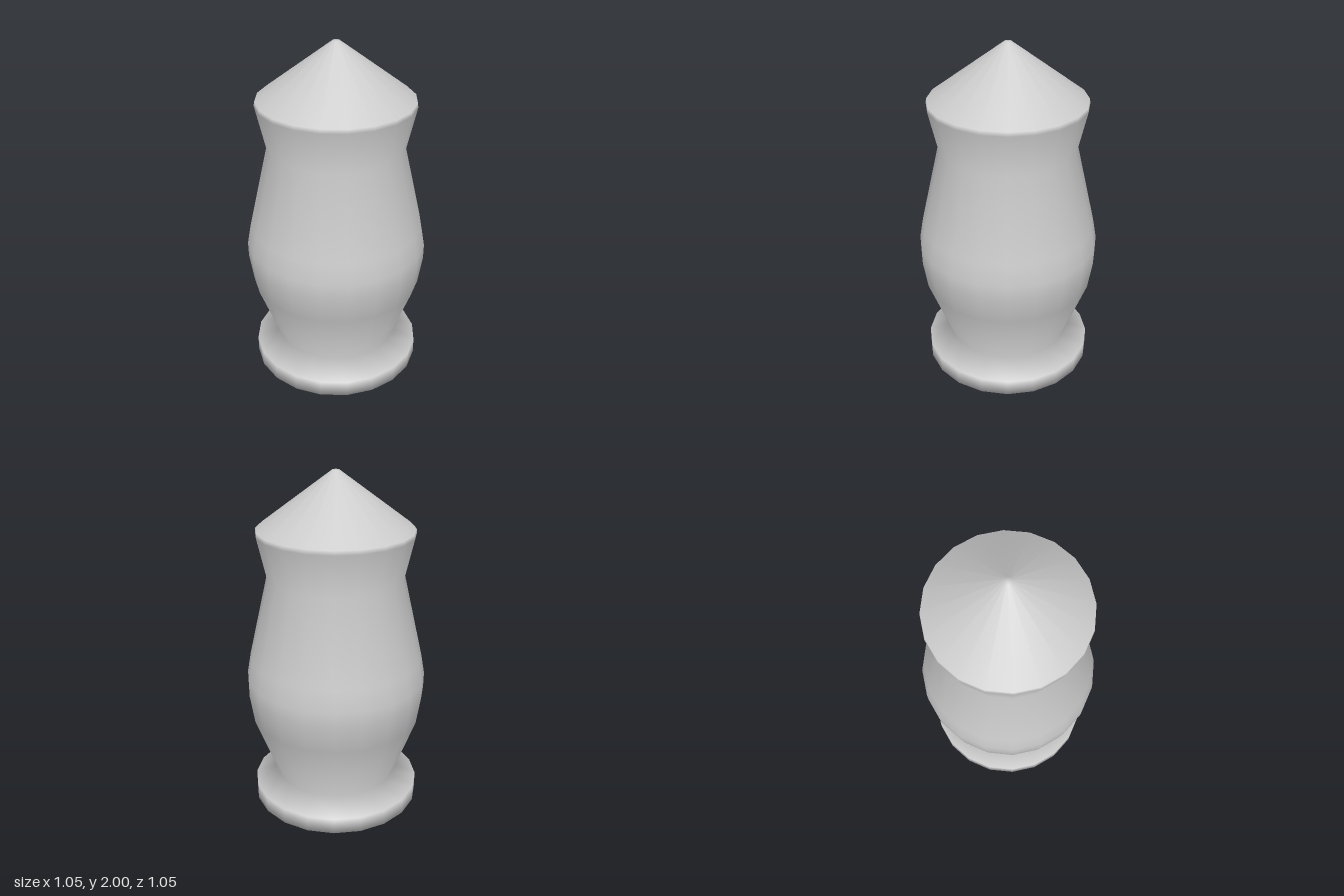
import * as THREE from 'three';

const SIDES = 20;

// Outline from the underside centre to the tip: [radius, height]
const OUTLINE = [
  [0, 0], [0.5, 0], [0.5, 0.095],                 // round foot
  [0.36, 0.16],                                   // ankle
  [0.5, 0.54], [0.526, 0.71], [0.527, 0.8], [0.505, 0.92], // belly
  [0.393, 1.405],                                 // neck
  [0.449, 1.655], [0.446, 1.68],                  // cap rim
  [0.02, 2], [0, 2],                              // blunt tip
];

export function createModel() {
  const group = new THREE.Group();
  group.name = 'turnedPiece';

  // Single smooth turned body, so shading flows across foot, belly and cap
  const points = OUTLINE.map(([r, y]) => new THREE.Vector2(r, y));
  const body = new THREE.Mesh(
    new THREE.LatheGeometry(points, SIDES),
    new THREE.MeshStandardMaterial({ color: 0xcccccc })
  );
  body.name = 'turnedBody';
  group.add(body);
  return group;
}
